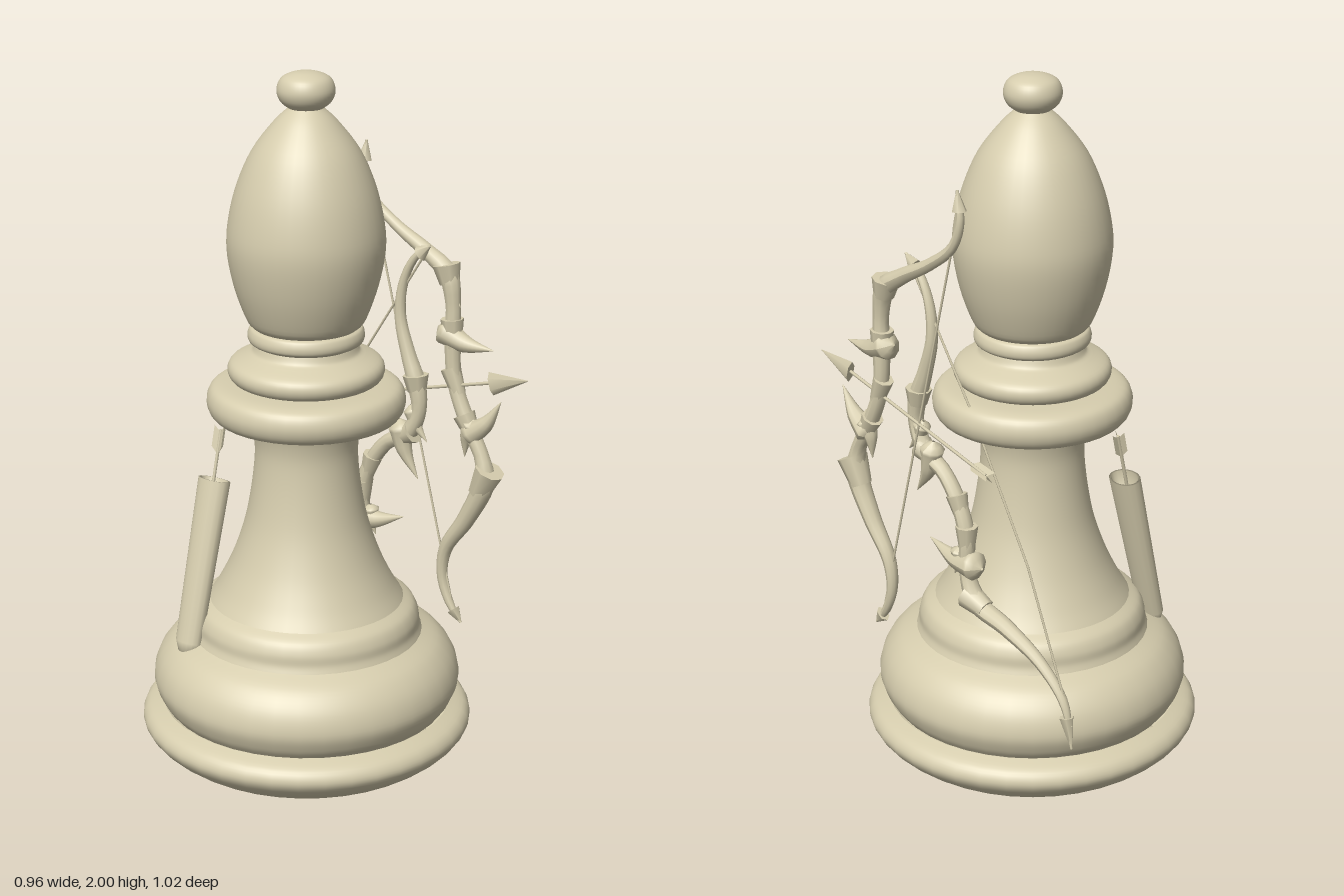
import * as THREE from 'three';

const ivory = new THREE.MeshStandardMaterial({ color: 0xd6cdae });
ivory.name = 'ivory';
ivory.side = THREE.DoubleSide;
const UP = new THREE.Vector3(0, 1, 0);

function add(parent, name, geometry) {
  const mesh = new THREE.Mesh(geometry, ivory);
  mesh.name = name;
  parent.add(mesh);
  return mesh;
}

// Turned section: a smooth curve through [radius, height] points
function turned(parent, name, points) {
  const curve = new THREE.SplineCurve(points.map(p => new THREE.Vector2(...p)));
  const profile = curve.getPoints(points.length * 4);
  profile.forEach(p => { p.x = Math.max(p.x, 0); });
  return add(parent, name, new THREE.LatheGeometry(profile, 40));
}

// Tapered rod or cone between two points
function rod(parent, name, from, to, r0, r1, flat = 1, sides = 8) {
  const a = new THREE.Vector3(...from), b = new THREE.Vector3(...to);
  const dir = b.clone().sub(a);
  const geometry = new THREE.CylinderGeometry(r1, r0, dir.length(), sides);
  geometry.scale(flat, 1, 1);
  const mesh = add(parent, name, geometry);
  mesh.position.copy(a).lerp(b, 0.5);
  mesh.quaternion.setFromUnitVectors(UP, dir.normalize());
  return mesh;
}

// Tube whose radius follows the path; nodes are [z, y, radius]
function limb(parent, name, x, nodes) {
  const curve = new THREE.CatmullRomCurve3(nodes.map(n => new THREE.Vector3(x, n[1], n[0])));
  const steps = nodes.length * 4, sides = 10, v = new THREE.Vector3();
  const geometry = new THREE.TubeGeometry(curve, steps, 1, sides);
  const pos = geometry.attributes.position;
  for (let i = 0; i <= steps; i++) {
    const t = curve.getUtoTmapping(i / steps) * (nodes.length - 1);
    const k = Math.min(Math.floor(t), nodes.length - 2);
    const r = THREE.MathUtils.lerp(nodes[k][2], nodes[k + 1][2], t - k);
    const centre = curve.getPointAt(i / steps);
    for (let j = 0; j <= sides; j++) {
      const n = i * (sides + 1) + j;
      v.fromBufferAttribute(pos, n).sub(centre).multiplyScalar(r).add(centre);
      pos.setXYZ(n, v.x, v.y, v.z);
    }
  }
  geometry.computeVertexNormals();
  return add(parent, name, geometry);
}

// Bow: limb, flared collars, curved thorns, pointed tips and string
function bow(parent, name, x, nodes, collars, thorns, string) {
  const group = new THREE.Group();
  group.name = name;
  limb(group, 'bowLimb', x, nodes);
  for (const i of collars) {
    const [z, y, r] = nodes[i], [z2, y2] = nodes[i + 1];
    const dz = (z2 - z) * 0.3, dy = (y2 - y) * 0.3;
    rod(group, 'collar', [x, y - dy, z - dz], [x, y + dy, z + dz], r * 1.35, r * 0.95);
  }
  for (const [z0, y0, z1, y1, r] of thorns) {
    const mz = (z0 + z1) / 2 + (y1 - y0) * 0.08, my = (y0 + y1) / 2 - (z1 - z0) * 0.08;
    limb(group, 'thorn', x, [[z0, y0, 0.004], [z0 * 0.75 + mz * 0.25, y0 * 0.75 + my * 0.25, r], [mz, my, r * 0.65], [z1, y1, 0.001]]);
  }
  for (const [end, next] of [[0, 1], [nodes.length - 1, nodes.length - 2]]) {
    const a = nodes[end], b = nodes[next];
    const mid = [x, a[1] * 0.3 + b[1] * 0.7, a[0] * 0.3 + b[0] * 0.7];
    rod(group, 'limbTip', mid, [x, a[1], a[0]], 0.024, 0.003, 0.75, 6);
  }
  for (let i = 0; i + 1 < string.length; i++) {
    const [a, b] = [string[i], string[i + 1]];
    rod(group, 'string', [x, a[1], a[0]], [x, b[1], b[0]], 0.0035, 0.0035, 1, 5);
  }
  parent.add(group);
}

// Three thin vanes around the tail end of a shaft
function fletching(parent, from, to, height) {
  const a = new THREE.Vector3(...from), b = new THREE.Vector3(...to);
  const length = a.distanceTo(b);
  const shape = new THREE.Shape();
  shape.moveTo(0, 0);
  shape.lineTo(height, length * 0.3);
  shape.lineTo(height, length * 1.15);
  shape.lineTo(0, length * 0.9);
  const group = new THREE.Group();
  group.name = 'fletching';
  for (let i = 0; i < 3; i++) add(group, 'vane', new THREE.ShapeGeometry(shape)).rotation.y = i * Math.PI * 2 / 3;
  group.position.copy(a);
  group.quaternion.setFromUnitVectors(UP, b.sub(a).normalize());
  parent.add(group);
}

export function createModel() {
  const model = new THREE.Group();
  model.name = 'archerBishop';

  // Turned body
  const body = new THREE.Group();
  body.name = 'body';
  body.position.z = -0.03;
  model.add(body);
  turned(body, 'underside', [[0, 0.015], [0.2, 0.015], [0.34, 0.012], [0.36, 0.003]]);
  turned(body, 'foot', [[0.36, 0.003], [0.4, 0.018], [0.455, 0.06], [0.48, 0.1], [0.465, 0.135], [0.42, 0.155]]);
  turned(body, 'base', [[0.41, 0.15], [0.43, 0.18], [0.445, 0.23], [0.43, 0.29], [0.39, 0.34], [0.335, 0.37]]);
  turned(body, 'baseRing', [[0.335, 0.37], [0.328, 0.39], [0.325, 0.42], [0.31, 0.45], [0.28, 0.47]]);
  turned(body, 'stem', [[0.28, 0.47], [0.25, 0.52], [0.212, 0.6], [0.178, 0.7], [0.158, 0.8], [0.147, 0.9], [0.15, 0.96], [0.165, 1.01], [0.19, 1.02]]);
  turned(body, 'collarDisc', [[0.16, 1.015], [0.24, 1.018], [0.27, 1.035], [0.281, 1.07], [0.27, 1.105], [0.24, 1.12], [0.18, 1.125]]);
  turned(body, 'upperRing', [[0.18, 1.122], [0.21, 1.135], [0.221, 1.16], [0.21, 1.185], [0.17, 1.205]]);
  turned(body, 'neck', [[0.17, 1.205], [0.152, 1.215], [0.143, 1.235]]);
  turned(body, 'neckRing', [[0.143, 1.235], [0.16, 1.245], [0.164, 1.262], [0.158, 1.28], [0.148, 1.286]]);
  turned(body, 'mitre', [[0.148, 1.286], [0.168, 1.31], [0.2, 1.4], [0.219, 1.5], [0.216, 1.58], [0.193, 1.68], [0.15, 1.78], [0.09, 1.86], [0.048, 1.9]]);
  turned(body, 'finial', [[0.045, 1.898], [0.07, 1.918], [0.08, 1.948], [0.068, 1.98], [0.035, 1.996], [0, 2]]);

  // Outer bow
  bow(model, 'outerBow', 0.31,
    [[-0.06, 1.75, 0.004], [-0.07, 1.67, 0.012], [-0.04, 1.59, 0.014], [0.05, 1.52, 0.017], [0.16, 1.46, 0.023],
      [0.23, 1.41, 0.03], [0.25, 1.32, 0.022], [0.25, 1.24, 0.025], [0.26, 1.1, 0.022], [0.31, 0.98, 0.024],
      [0.36, 0.89, 0.022], [0.37, 0.82, 0.033], [0.31, 0.69, 0.026], [0.24, 0.58, 0.02], [0.23, 0.49, 0.016],
      [0.26, 0.41, 0.013], [0.3, 0.36, 0.004]],
    [5, 7, 8, 9, 11],
    [[0.2, 1.25, 0.39, 1.215, 0.04], [0.3, 0.94, 0.42, 1.07, 0.036], [0.33, 1.0, 0.3, 0.88, 0.03], [0.22, 1.43, 0.275, 1.32, 0.024]],
    [[-0.06, 1.67], [0.27, 0.4]]);

  // Inner bow
  bow(model, 'innerBow', 0.25,
    [[0.21, 1.5, 0.004], [0.16, 1.46, 0.011], [0.12, 1.38, 0.014], [0.11, 1.28, 0.017], [0.14, 1.17, 0.022],
      [0.17, 1.09, 0.028], [0.18, 1.01, 0.022], [0.14, 0.93, 0.026], [0.07, 0.89, 0.022], [0.01, 0.81, 0.023],
      [-0.02, 0.72, 0.024], [-0.02, 0.61, 0.022], [-0.06, 0.53, 0.03], [-0.18, 0.49, 0.024], [-0.31, 0.43, 0.017],
      [-0.4, 0.34, 0.013], [-0.43, 0.21, 0.004]],
    [5, 7, 9, 10, 12],
    [[0.11, 0.97, 0.18, 0.8, 0.036], [-0.08, 0.64, 0.13, 0.67, 0.042], [0.01, 0.68, 0.03, 0.59, 0.026], [0.15, 1.02, 0.21, 0.92, 0.026]],
    [[0.19, 1.47], [-0.04, 1.11], [-0.26, 0.71], [-0.43, 0.28]]);

  // Nocked arrow
  const arrow = new THREE.Group();
  arrow.name = 'arrow';
  model.add(arrow);
  rod(arrow, 'arrowShaft', [0.31, 0.97, -0.16], [0.31, 1.13, 0.42], 0.005, 0.005, 1, 6);
  rod(arrow, 'arrowHead', [0.31, 1.118, 0.385], [0.31, 1.152, 0.508], 0.034, 0.001, 0.4, 6);
  fletching(arrow, [0.31, 0.984, -0.1], [0.31, 0.968, -0.17], 0.02);

  // Quiver with its spare arrow
  const quiver = new THREE.Group();
  quiver.name = 'quiver';
  model.add(quiver);
  const bottom = new THREE.Vector3(-0.305, 0.35, -0.222), top = new THREE.Vector3(-0.175, 0.83, -0.225);
  const length = bottom.distanceTo(top);
  const caseGeometry = new THREE.LatheGeometry([[0, -0.02], [0.03, -0.01], [0.043, 0.02], [0.052, length], [0.044, length], [0.04, length - 0.06], [0, length - 0.06]]
    .map(p => new THREE.Vector2(...p)), 16);
  caseGeometry.scale(0.7, 1, 1);
  const quiverCase = add(quiver, 'quiverCase', caseGeometry);
  quiverCase.position.copy(bottom);
  quiverCase.quaternion.setFromUnitVectors(UP, top.clone().sub(bottom).normalize());
  rod(quiver, 'spareShaft', [-0.2, 0.74, -0.225], [-0.14, 0.97, -0.228], 0.005, 0.005, 1, 6);
  fletching(quiver, [-0.158, 0.9, -0.227], [-0.14, 0.97, -0.228], 0.02);
  return model;
}
